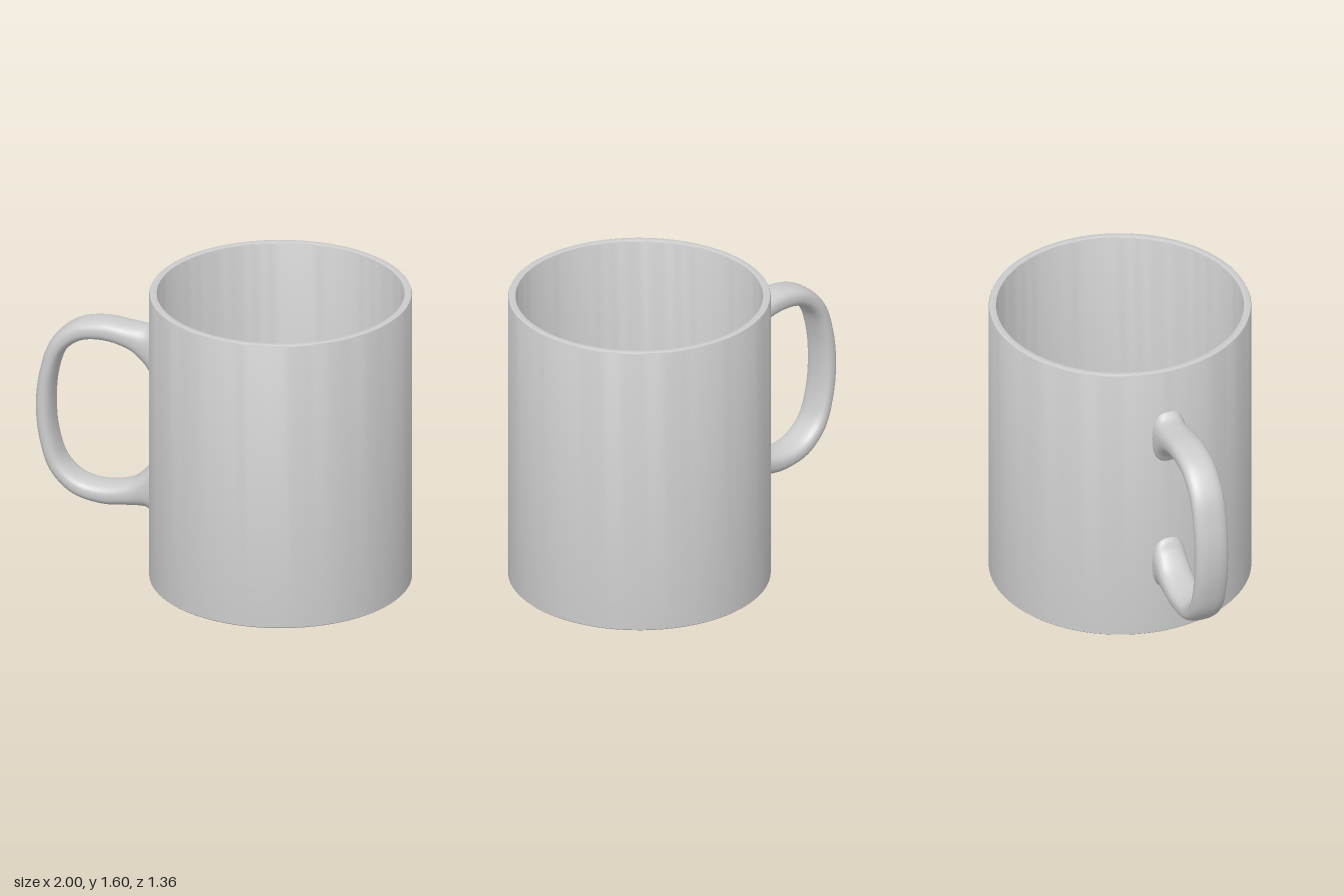
import * as THREE from 'three';
import { toCreasedNormals } from 'three/addons/utils/BufferGeometryUtils.js';

const material = new THREE.MeshStandardMaterial({ color: 0xcccccc });

// Walls, base and softened rim in one closed profile
function createCup() {
  const profile = [
    [0, 0], [0.675, 0], [0.68, 0.005],
    [0.68, 1.59], [0.677, 1.597], [0.67, 1.6],
    [0.648, 1.6], [0.641, 1.597], [0.638, 1.59],
    [0.638, 0.07], [0.628, 0.06], [0, 0.06],
  ].map(([r, y]) => new THREE.Vector2(r, y));
  const geometry = toCreasedNormals(new THREE.LatheGeometry(profile, 96), 0.6);
  const cup = new THREE.Mesh(geometry, material);
  cup.name = 'cup';
  cup.position.x = 0.32;
  return cup;
}

// Upper half of an edge curve, mirrored to the lower half
function mirroredCurve(points) {
  const midY = 0.81;
  const lower = points.slice(0, -1).reverse().map(([x, y]) => [x, 2 * midY - y]);
  return new THREE.CatmullRomCurve3(
    [...points, ...lower].map(([x, y]) => new THREE.Vector3(x, y, 0)));
}

// Handle: rounded sections spanning the outer and inner edge curves
function createHandle() {
  const outer = mirroredCurve([
    [-0.34, 1.36], [-0.37, 1.34], [-0.4, 1.32], [-0.49, 1.32], [-0.64, 1.33],
    [-0.8, 1.29], [-0.92, 1.175], [-0.98, 1.0], [-1, 0.81],
  ]);
  const inner = mirroredCurve([
    [-0.34, 1.04], [-0.37, 1.055], [-0.405, 1.105], [-0.48, 1.175], [-0.62, 1.213],
    [-0.75, 1.197], [-0.845, 1.12], [-0.895, 0.98], [-0.91, 0.81],
  ]);
  const rings = 112, sides = 32, halfWidth = 0.09;
  const round = (v) => Math.sign(v) * Math.abs(v) ** (2 / 2.5);
  const positions = [], indices = [];
  for (let i = 0; i <= rings; i++) {
    const a = outer.getPoint(i / rings), b = inner.getPoint(i / rings);
    const centre = a.clone().add(b).multiplyScalar(0.5);
    const half = a.sub(b).multiplyScalar(0.5);
    for (let j = 0; j < sides; j++) {
      const angle = (j / sides) * Math.PI * 2;
      const p = centre.clone().addScaledVector(half, round(Math.cos(angle)));
      positions.push(p.x, p.y, halfWidth * round(Math.sin(angle)));
      if (i < rings) {
        const k = i * sides + j, n = i * sides + (j + 1) % sides;
        indices.push(k, k + sides, n, n, k + sides, n + sides);
      }
    }
  }
  const geometry = new THREE.BufferGeometry();
  geometry.setAttribute('position', new THREE.Float32BufferAttribute(positions, 3));
  geometry.setIndex(indices);
  geometry.computeVertexNormals();
  const handle = new THREE.Mesh(geometry, material);
  handle.name = 'handle';
  return handle;
}

export function createModel() {
  const mug = new THREE.Group();
  mug.name = 'mug';
  mug.add(createCup(), createHandle());
  return mug;
}
